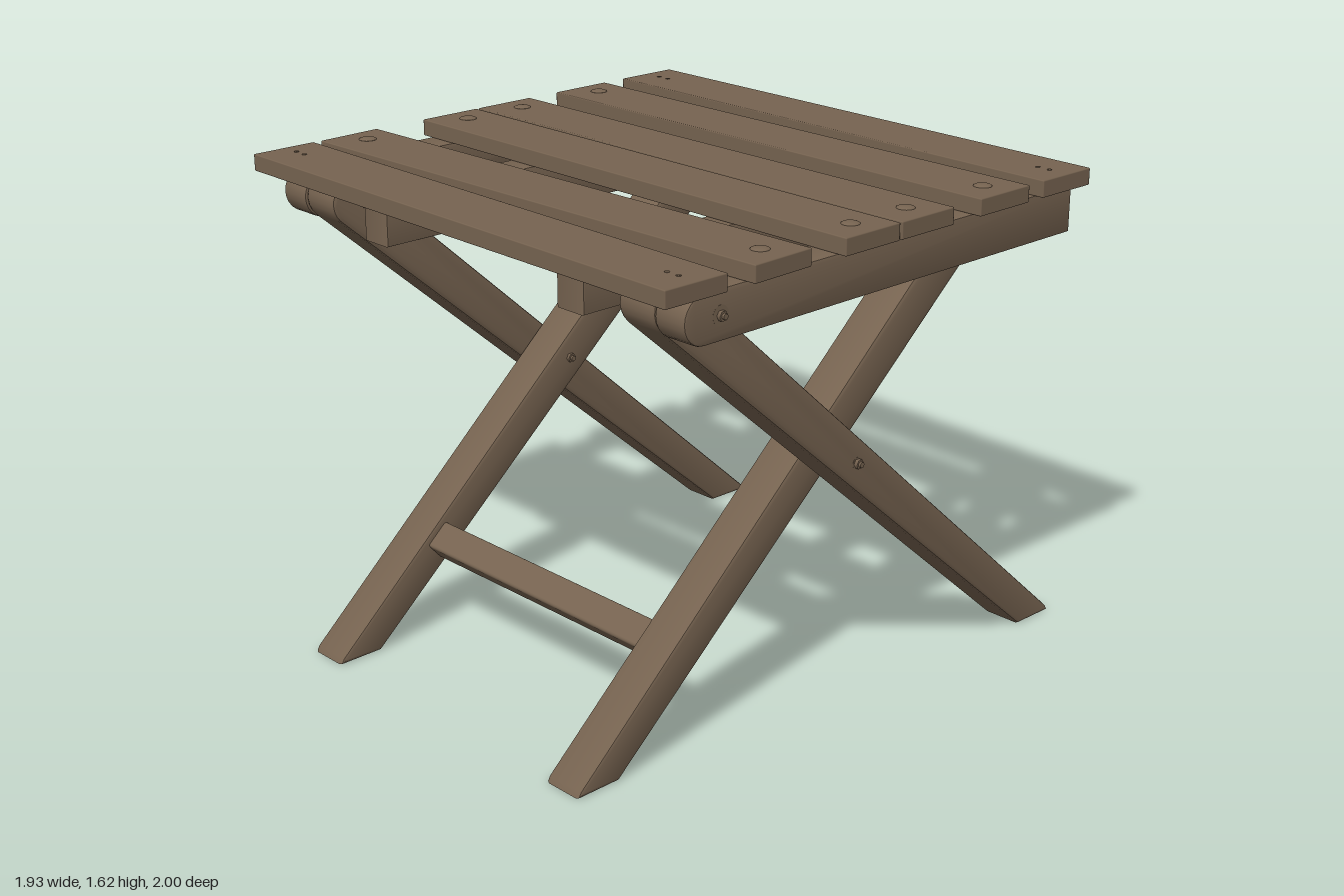
import * as THREE from 'three';
import { toCreasedNormals } from 'three/addons/utils/BufferGeometryUtils.js';
import { RoundedBoxGeometry } from 'three/addons/geometries/RoundedBoxGeometry.js';

const wood = new THREE.MeshStandardMaterial({ color: 0x766350 });
wood.name = 'brown wood';

function add(group, name, geometry, x = 0, y = 0, z = 0) {
  const mesh = new THREE.Mesh(geometry, wood);
  mesh.name = name;
  mesh.position.set(x, y, z);
  group.add(mesh);
  return mesh;
}

// Extrudes a (z, y) side profile into a board of the given width along x.
function board(shape, width, bevel) {
  const geometry = new THREE.ExtrudeGeometry(shape, {
    depth: width - 2 * bevel, curveSegments: 12,
    bevelThickness: bevel, bevelSize: bevel, bevelOffset: -bevel, bevelSegments: 2,
  });
  geometry.translate(0, 0, -width / 2 + bevel);
  geometry.rotateY(-Math.PI / 2);
  return toCreasedNormals(geometry, 0.6);
}

// Tapered leg: foot at +z * dir, rounded hinge end at the other side.
function legShape(dir) {
  const points = [[0.84, 0], [1, 0], [0.99, 0.02]];
  const tilt = Math.atan2(0.742, 0.67);
  for (let i = 0; i <= 12; i++) {
    const a = tilt + (i / 12) * Math.PI;
    points.push([-0.755 + 0.078 * Math.cos(a), 1.483 + 0.078 * Math.sin(a)]);
  }
  return new THREE.Shape(points.map(([z, y]) => new THREE.Vector2(z * dir, y)));
}

// Seat rail: rounded at the hinge end (+z * dir), square at the other.
function railShape(dir) {
  const points = [[-0.825, 1.555], [-0.825, 1.405]];
  for (let i = 0; i <= 12; i++) {
    const a = -Math.PI / 2 + (i / 12) * Math.PI;
    points.push([0.76 + 0.075 * Math.cos(a), 1.48 + 0.075 * Math.sin(a)]);
  }
  return new THREE.Shape(points.map(([z, y]) => new THREE.Vector2(z * dir, y)));
}

// Washer, rod and nut along x, centred on the parts they join.
function hingeBolt(group, name, x, y, z, length, washer) {
  const along = (r, l, n) => new THREE.CylinderGeometry(r, r, l, n).rotateZ(Math.PI / 2);
  add(group, name + 'Rod', along(0.009, length, 10), x, y, z);
  for (const s of [-1, 1]) {
    add(group, name + 'Washer', along(washer, 0.008, 20), x + s * (length / 2 - 0.024), y, z);
    add(group, name + 'Nut', along(0.016, 0.012, 6), x + s * (length / 2 - 0.014), y, z);
  }
}

export function createModel() {
  const model = new THREE.Group();
  model.name = 'foldingStool';

  // Seat slats: centre z, slight turn about y, whether fixed by bolts
  const slats = [
    [-0.762, -0.0104, false], [-0.455, 0, true], [-0.105, 0, true],
    [0.132, 0, true], [0.522, 0.0286, true], [0.814, -0.0104, false],
  ];
  const slatGeometry = new RoundedBoxGeometry(1.92, 0.055, 0.228, 1, 0.004);
  const head = new THREE.SphereGeometry(0.029, 16, 6, 0, Math.PI * 2, 0, Math.PI / 2).scale(1, 0.25, 1);
  const nail = new THREE.CylinderGeometry(0.008, 0.008, 0.004, 8);
  for (const [z, turn, bolted] of slats) {
    const slat = new THREE.Group();
    slat.name = 'seatSlat';
    slat.position.set(0, 1.5825, z);
    slat.rotation.y = turn;
    add(slat, 'slatBoard', slatGeometry);
    for (const s of [-1, 1]) {
      if (bolted) add(slat, 'slatBoltHead', head, s * 0.867, 0.0275, -0.004);
      else for (const dx of [0.845, 0.89]) add(slat, 'slatNail', nail, s * dx, 0.0275, 0);
    }
    model.add(slat);
  }

  // Mirrored legs, rails and hinges
  const innerLeg = board(legShape(1), 0.145, 0.012);
  const outerLeg = board(legShape(-1), 0.145, 0.012);
  const innerRail = board(railShape(-1), 0.115, 0.006);
  const outerRail = board(railShape(1), 0.115, 0.006);
  for (const s of [-1, 1]) {
    const side = new THREE.Group();
    side.name = s > 0 ? 'leftSide' : 'rightSide';
    add(side, 'innerLeg', innerLeg, s * 0.584);
    add(side, 'outerLeg', outerLeg, s * 0.734);
    add(side, 'innerRail', innerRail, s * 0.452);
    add(side, 'outerRail', outerRail, s * 0.867);
    hingeBolt(side, 'frontHinge', s * 0.79, 1.48, 0.7, 0.31, 0.03);
    hingeBolt(side, 'backHinge', s * 0.52, 1.48, -0.7, 0.3, 0.03);
    hingeBolt(side, 'crossing', s * 0.66, 0.82, 0, 0.335, 0.02);
    model.add(side);
  }

  // Stretcher between the inner legs, tilted along them
  const stretcher = add(model, 'stretcher', new RoundedBoxGeometry(1.03, 0.1, 0.078, 2, 0.01), 0, 0.317, 0.57);
  stretcher.rotation.x = -0.845;

  return model;
}
